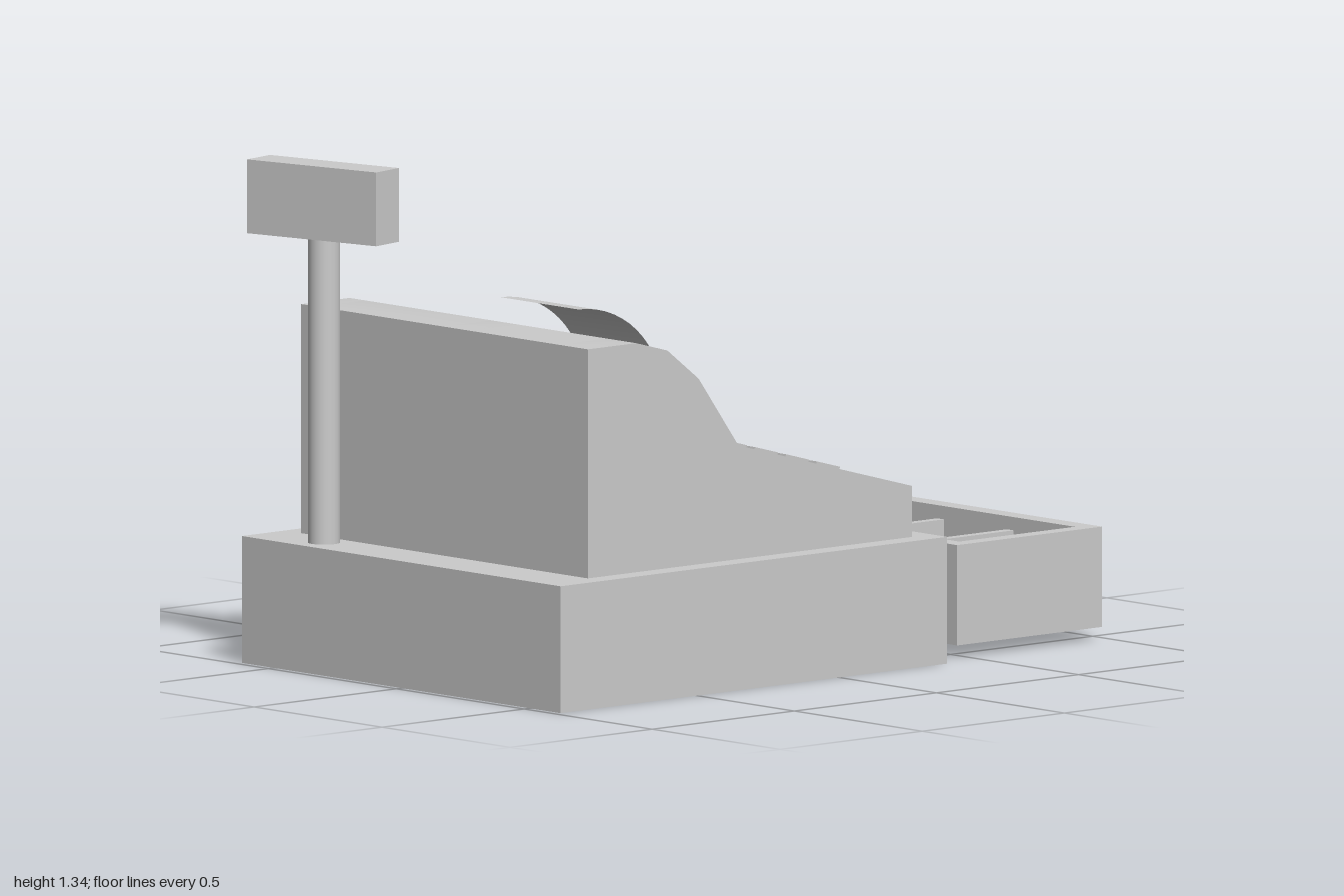
import * as THREE from 'three';
import { toCreasedNormals } from 'three/addons/utils/BufferGeometryUtils.js';

const grey = new THREE.MeshStandardMaterial({ color: 0xcccccc });
const greyDouble = new THREE.MeshStandardMaterial({ color: 0xcccccc, side: THREE.DoubleSide });

export function createModel() {
  const root = new THREE.Group();
  root.name = 'cashRegister';

  const add = (parent, name, geometry, material = grey) => {
    const mesh = new THREE.Mesh(geometry, material);
    mesh.name = name;
    parent.add(mesh);
    return mesh;
  };
  // box given by its two extreme corners
  const box = (parent, name, [x0, y0, z0], [x1, y1, z1]) => {
    const mesh = add(parent, name, new THREE.BoxGeometry(x1 - x0, y1 - y0, z1 - z0));
    mesh.position.set((x0 + x1) / 2, (y0 + y1) / 2, (z0 + z1) / 2);
    return mesh;
  };

  // base plinth
  box(root, 'base', [-0.98, 0, -0.625], [0.38, 0.335, 0.62]);

  // body: side profile extruded in slices, so the key wells and paper slot are real recesses
  const deckY = (x) => 0.554 - 0.27 * x;
  const wellDepth = 0.027;
  const profile = (well, slot) => {
    const points = [[-0.83, 0.335], [0.31, 0.335], [0.31, 0.47]];
    if (well) {
      points.push([0.23, deckY(0.23)], [0.224, deckY(0.23) - wellDepth],
        [-0.236, deckY(-0.23) - wellDepth], [-0.23, deckY(-0.23)]);
    }
    points.push([-0.3, 0.635], [-0.44, 0.825]);
    if (slot) points.push([-0.455, 0.81], [-0.65, 0.905]);
    else points.push([-0.55, 0.91]);
    points.push([-0.66, 0.94], [-0.83, 0.94]);
    return new THREE.Shape(points.map(([x, y]) => new THREE.Vector2(x, y)));
  };
  const body = new THREE.Group();
  body.name = 'body';
  root.add(body);
  const slices = [ // z start, z end, key well, paper slot
    [-0.56, -0.5, false, false],
    [-0.5, -0.005, true, false],
    [-0.005, 0.09, false, false],
    [0.09, 0.1, true, false],
    [0.1, 0.41, true, true],
    [0.41, 0.445, false, true],
    [0.445, 0.56, false, false],
  ];
  for (const [z0, z1, well, slot] of slices) {
    const geometry = new THREE.ExtrudeGeometry(profile(well, slot), { depth: z1 - z0, bevelEnabled: false });
    geometry.translate(0, 0, z0);
    add(body, 'bodySection', toCreasedNormals(geometry, 0.5));
  }

  // keys, laid out on the sloping deck
  const keypad = (name, zStart, zEnd, columns) => {
    const group = new THREE.Group();
    group.name = name;
    group.position.y = deckY(0);
    group.rotation.z = -Math.atan(0.27);
    root.add(group);
    const pitch = (zEnd - zStart - 0.015) / columns;
    for (let row = 0; row < 4; row++) {
      for (let column = 0; column < columns; column++) {
        const x = (row - 1.5) * 0.113;
        const z = zStart + 0.0075 + (column + 0.5) * pitch;
        box(group, 'key', [x - 0.042, -0.035, z - 0.041], [x + 0.042, 0.014, z + 0.041]);
      }
    }
  };
  keypad('mainKeys', -0.5, -0.005, 5);
  keypad('sideKeys', 0.09, 0.41, 3);

  // receipt paper curling back out of the slot
  const paper = new THREE.PlaneGeometry(1, 1, 12, 1);
  const position = paper.attributes.position;
  const sweep = 1.3;
  for (let i = 0; i < position.count; i++) {
    const t = (position.getX(i) + 0.5) * sweep;
    position.setXYZ(i,
      -0.74 + 0.29 * Math.sin(t) / Math.sin(sweep),
      1.022 - 0.2 * (1 - Math.cos(t)) / (1 - Math.cos(sweep)),
      0.27 - position.getY(i) * 0.305);
  }
  paper.computeVertexNormals();
  add(root, 'receiptPaper', paper, greyDouble);

  // customer display on its pole
  const pole = add(root, 'displayPole', new THREE.CylinderGeometry(0.042, 0.042, 0.81, 20));
  pole.position.set(-0.9, 0.735, -0.393);
  const display = add(root, 'displayBox', new THREE.BoxGeometry(0.102, 0.195, 0.415));
  display.position.set(-0.9, 1.2375, -0.397);
  display.rotation.y = 0.217;

  // open cash drawer
  const drawer = new THREE.Group();
  drawer.name = 'drawer';
  root.add(drawer);
  box(drawer, 'drawerFloor', [0.46, 0.035, -0.575], [0.97, 0.08, 0.57]);
  box(drawer, 'drawerBack', [0.46, 0.08, -0.575], [0.508, 0.3, 0.57]);
  box(drawer, 'drawerFront', [0.915, 0.08, -0.575], [0.97, 0.3, 0.57]);
  box(drawer, 'drawerSide', [0.508, 0.08, -0.575], [0.915, 0.3, -0.53]);
  box(drawer, 'drawerSide', [0.508, 0.08, 0.525], [0.915, 0.3, 0.57]);
  for (const z of [-0.272, 0, 0.272]) {
    box(drawer, 'drawerDivider', [0.508, 0.08, z - 0.013], [0.915, 0.265, z + 0.013]);
  }
  const knob = add(drawer, 'drawerKnob',
    toCreasedNormals(new THREE.CylinderGeometry(0.045, 0.045, 0.04, 8), 0.9));
  knob.rotation.set(Math.PI / 8, 0, -Math.PI / 2);
  knob.position.set(0.98, 0.14, 0);

  return root;
}
